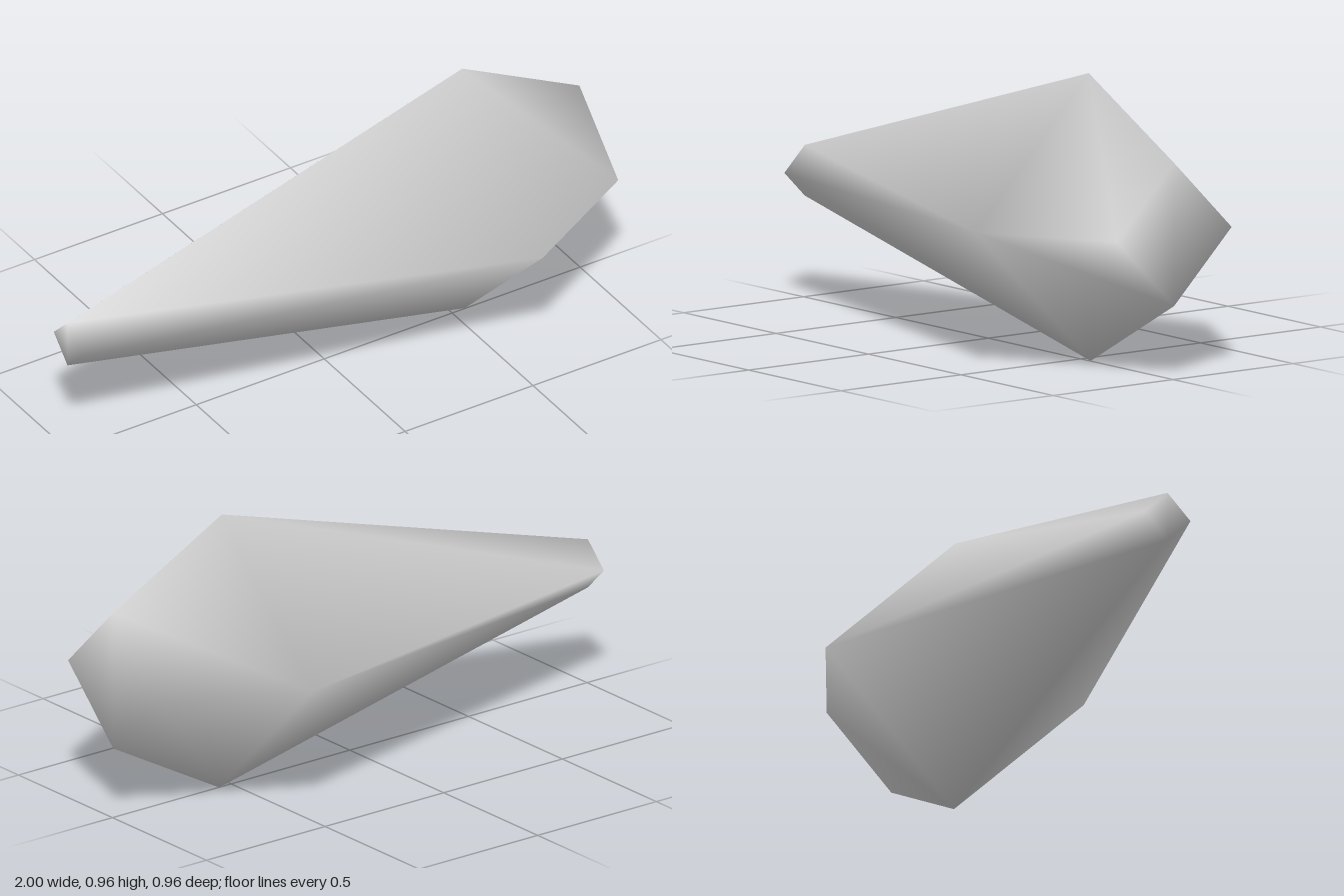
import * as THREE from 'three';

// Smooth skin over diamond rings (top, front, bottom, back) with both ends closed.
function diamondLoft(rings) {
  const points = [];
  const faces = [];
  for (const { x, y, z, r, lean } of rings) {
    points.push(x - lean, y + r, z, x + lean, y, z + r, x + lean, y - r, z, x - lean, y, z - r);
  }
  for (let k = 0; k < rings.length - 1; k++) {
    for (let i = 0; i < 4; i++) {
      const j = (i + 1) % 4;
      const a = k * 4, b = a + 4;
      faces.push(a + i, a + j, b + j, a + i, b + j, b + i);
    }
  }
  const e = (rings.length - 1) * 4;
  faces.push(0, 2, 1, 0, 3, 2); // narrow end
  faces.push(e, e + 1, e + 2, e, e + 2, e + 3); // wide end
  const geometry = new THREE.BufferGeometry();
  geometry.setAttribute('position', new THREE.Float32BufferAttribute(points, 3));
  geometry.setIndex(faces);
  geometry.computeVertexNormals();
  return geometry;
}

export function createModel() {
  const group = new THREE.Group();
  group.name = 'taperedCrystal';

  const grey = new THREE.MeshStandardMaterial({ color: 0xcccccc });
  grey.name = 'light grey';

  // Narrow tip, widest shoulder, blunt end
  const body = new THREE.Mesh(diamondLoft([
    { x: -1, y: 0.425, z: -0.005, r: 0.085, lean: 0 },
    { x: 0.546, y: 0.483, z: -0.002, r: 0.482, lean: 0.005 },
    { x: 1, y: 0.487, z: -0.004, r: 0.24, lean: 0 },
  ]), grey);
  body.name = 'crystalBody';
  group.add(body);

  return group;
}
